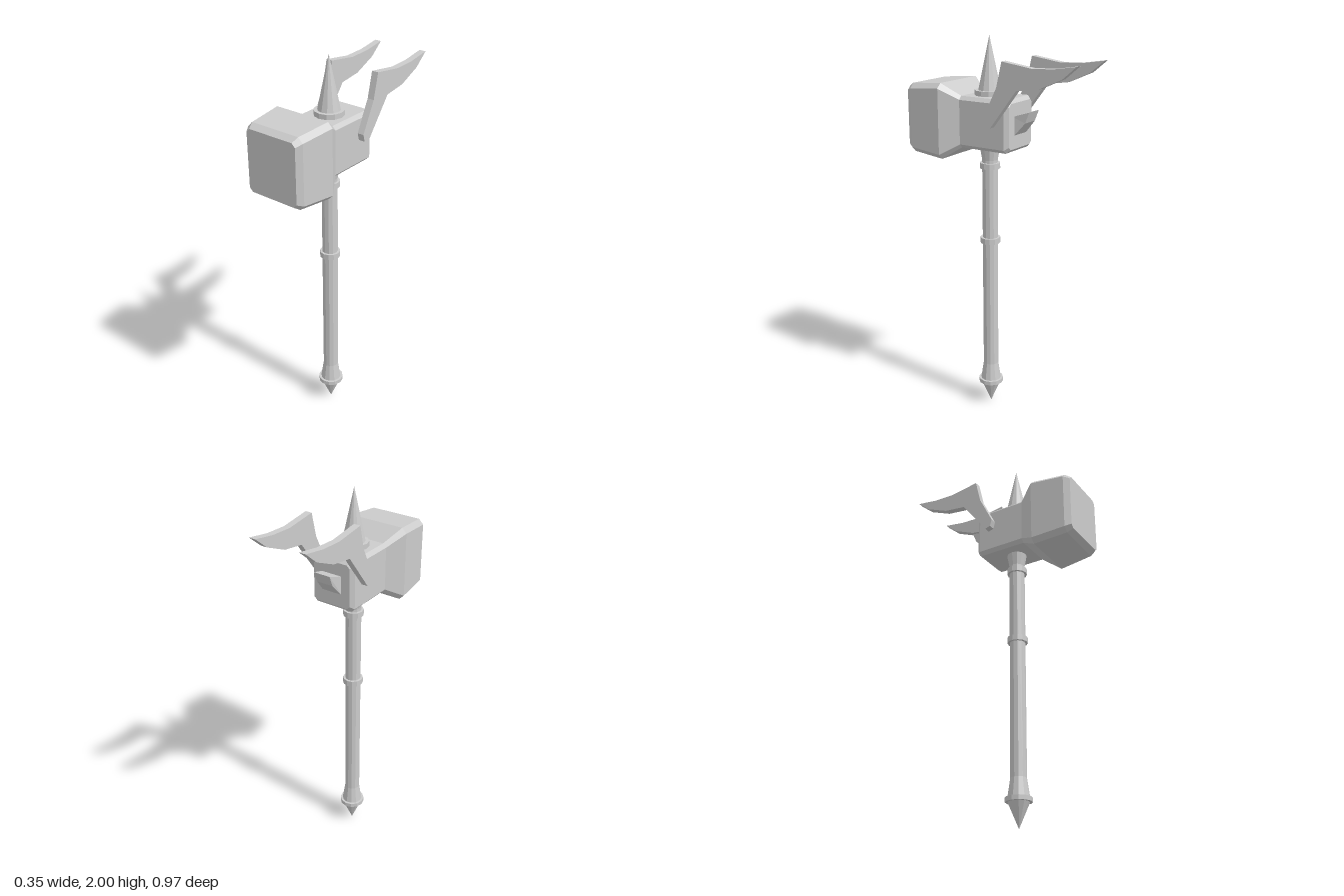
import * as THREE from 'three';

const material = new THREE.MeshStandardMaterial({ color: 0xcccccc, flatShading: true });
const AXIS_Z = 0.08; // shaft axis
const HEAD_Y = 1.582; // height of the head's centre line

function add(group, name, geometry) {
  const mesh = new THREE.Mesh(geometry, material);
  mesh.name = name;
  group.add(mesh);
  return mesh;
}

// Joins rings of [x, y, z] corners, counter-clockwise seen from +z, ordered back to front.
function loft(rings) {
  const n = rings[0].length;
  const pos = [];
  const tri = (a, b, c) => pos.push(...a, ...b, ...c);
  for (let i = 0; i < rings.length - 1; i++) {
    for (let j = 0; j < n; j++) {
      const k = (j + 1) % n;
      const a = rings[i][j], b = rings[i][k], c = rings[i + 1][k], d = rings[i + 1][j];
      tri(a, b, c);
      tri(a, c, d);
    }
  }
  const back = rings[0], front = rings[rings.length - 1];
  for (let j = 1; j < n - 1; j++) {
    tri(back[0], back[j + 1], back[j]);
    tri(front[0], front[j], front[j + 1]);
  }
  const geometry = new THREE.BufferGeometry();
  geometry.setAttribute('position', new THREE.Float32BufferAttribute(pos, 3));
  geometry.computeVertexNormals();
  return geometry;
}

// Rectangle with cut corners
function chamferedRing(z, w, h, c) {
  return [
    [w, -h + c], [w, h - c], [w - c, h], [-w + c, h],
    [-w, h - c], [-w, -h + c], [-w + c, -h], [w - c, -h],
  ].map(([x, y]) => [x, y + HEAD_Y, z]);
}

// Turned part around the shaft axis
function turned(points) {
  return new THREE.LatheGeometry(points.map(([r, y]) => new THREE.Vector2(r, y)), 12)
    .translate(0, 0, AXIS_Z);
}

function ring(y0, y1, r) {
  return turned([[0, y0], [r, y0], [r, y1], [0, y1]]);
}

export function createModel() {
  const group = new THREE.Group();
  group.name = 'warHammer';

  // Handle with flared ends and bands
  add(group, 'shaft', turned([[0, 0.13], [0.055, 0.14], [0.04, 0.24], [0.04, 1.385], [0.053, 1.46], [0, 1.46]]));
  add(group, 'pommelRing', ring(0.125, 0.147, 0.066));
  add(group, 'pommelPoint', turned([[0, 0], [0.054, 0.127], [0, 0.127]]));
  add(group, 'middleBand', ring(0.94, 0.97, 0.052));
  add(group, 'upperBand', ring(1.34, 1.37, 0.052));

  // Head: narrow rear block flaring into the striking block
  add(group, 'hammerHead', loft([
    chamferedRing(-0.1, 0.102, 0.112, 0.015),
    chamferedRing(-0.08, 0.119, 0.129, 0.018),
    chamferedRing(0.18, 0.119, 0.129, 0.018),
    chamferedRing(0.27, 0.175, 0.19, 0.025),
    chamferedRing(0.452, 0.16, 0.175, 0.025),
    chamferedRing(0.483, 0.142, 0.155, 0.018),
  ]));

  // Top spike on its collar
  add(group, 'spikeCollar', ring(1.7, 1.736, 0.074));
  add(group, 'topSpike', turned([[0, 1.73], [0.056, 1.736], [0, 2]]));

  // Tapered stub on the back face
  add(group, 'rearStub', loft([
    [[0.045, 1.6, -0.155], [0.045, 1.655, -0.177], [-0.045, 1.655, -0.177], [-0.045, 1.6, -0.155]],
    [[0.056, 1.525, -0.09], [0.056, 1.627, -0.09], [-0.056, 1.627, -0.09], [-0.056, 1.525, -0.09]],
  ]));

  // Flat, swept-back horns on both sides, outlined in (z, y)
  const horn = new THREE.Shape([
    [0.015, 1.625], [0.005, 1.588], [-0.025, 1.58], [-0.17, 1.77], [-0.29, 1.787], [-0.41, 1.84],
    [-0.483, 1.902], [-0.365, 1.883], [-0.25, 1.878], [-0.09, 1.9], [-0.06, 1.775],
  ].map(([z, y]) => new THREE.Vector2(z, y)));
  for (const [name, outerX] of [['leftHorn', 0.153], ['rightHorn', -0.118]]) {
    add(group, name, new THREE.ExtrudeGeometry(horn, { depth: 0.035, bevelEnabled: false })
      .rotateY(-Math.PI / 2).translate(outerX, 0, 0));
  }
  return group;
}
